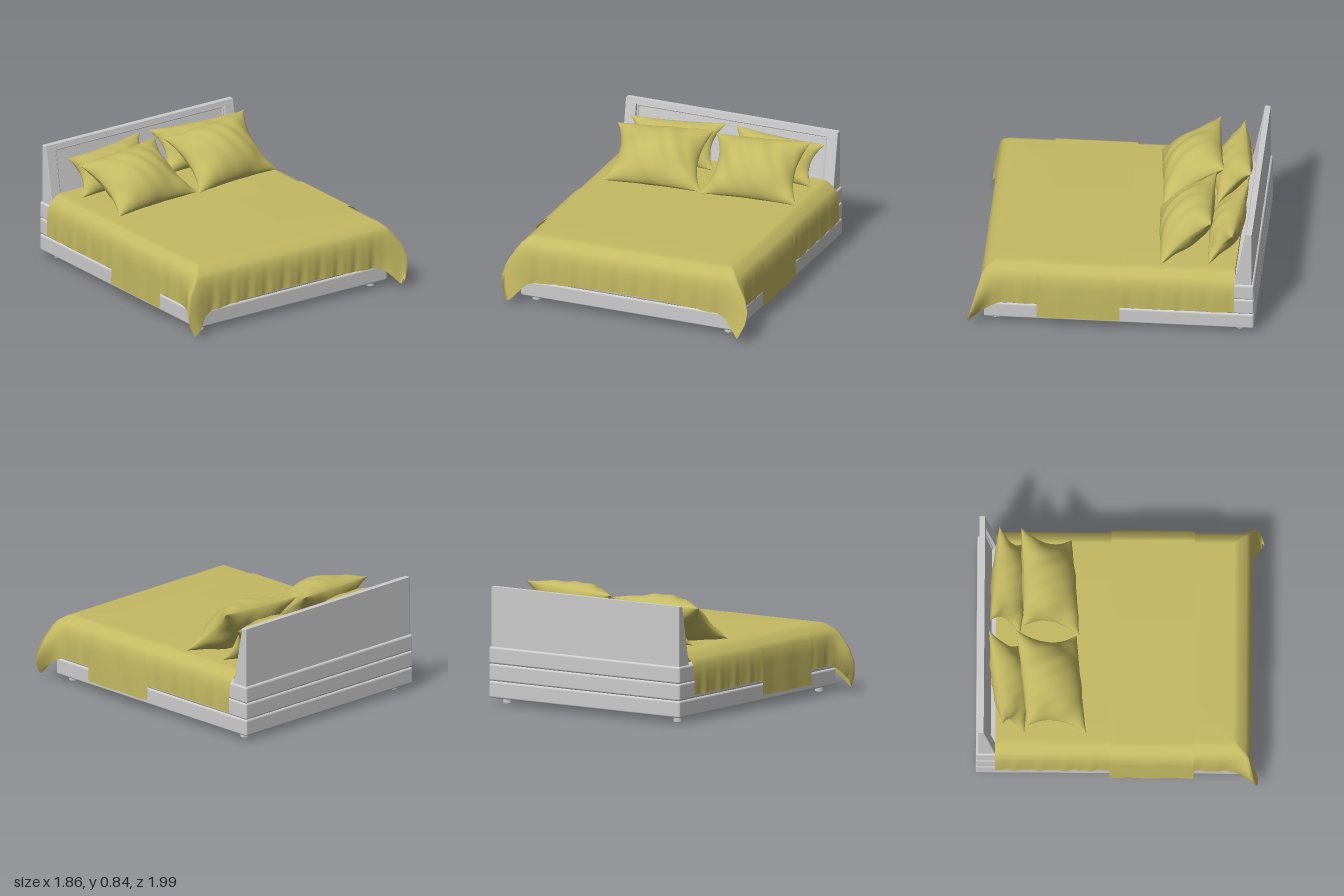
import * as THREE from 'three';
import { RoundedBoxGeometry } from 'three/addons/geometries/RoundedBoxGeometry.js';

const grey = new THREE.MeshStandardMaterial({ color: 0xcccccc });
const cloth = new THREE.MeshStandardMaterial({ color: 0xc4b962, side: THREE.DoubleSide });

function add(parent, name, geometry, material, x = 0, y = 0, z = 0) {
  const mesh = new THREE.Mesh(geometry, material);
  mesh.name = name;
  mesh.position.set(x, y, z);
  parent.add(mesh);
  return mesh;
}

// Smooth surface from rows of points; rows x columns gives the facing
function loft(rows) {
  const n = rows[0].length, index = [];
  for (let i = 0; i < rows.length - 1; i++)
    for (let j = 0; j < n - 1; j++) {
      const a = i * n + j, b = a + n;
      index.push(a, b, a + 1, b, b + 1, a + 1);
    }
  const g = new THREE.BufferGeometry();
  g.setAttribute('position', new THREE.Float32BufferAttribute(rows.flat(2), 3));
  g.setIndex(index);
  g.computeVertexNormals();
  return g;
}

// Side profile given as [z, y] points, extruded along x about the centre
function sideExtrude(points, width) {
  const shape = new THREE.Shape(points.map(p => new THREE.Vector2(...p)));
  const b = 0.005;
  const g = new THREE.ExtrudeGeometry(shape, {
    depth: width - 2 * b, bevelThickness: b, bevelSize: b, bevelOffset: -b, bevelSegments: 2,
  });
  return g.rotateY(-Math.PI / 2).translate(width / 2 - b, 0, 0);
}

// Duvet: widening U-shaped outlines going from the bed centre down to the hem
function duvetGeometry() {
  const stages = [ // half width, front z, height
    [0, 0, 0.486], [0.4, 0.5, 0.487], [0.73, 0.79, 0.486], [0.765, 0.825, 0.474], [0.81, 0.875, 0.435],
    [0.835, 0.9, 0.4], [0.842, 0.907, 0.34], [0.845, 0.91, 0.29], [0.845, 0.91, 0.24], [0.845, 0.91, 0.19],
  ];
  const back = -0.86, n = 90;
  return loft(stages.map(([w, front, h]) => {
    const drop = Math.max(0, (0.4 - h) / 0.21), row = [];
    for (let j = 0; j <= 3 * n; j++) {
      const side = Math.floor(Math.min(j, 3 * n - 1) / n), t = j / n - side;
      let x = [-w, w * (2 * t - 1), w][side];
      let z = [back + (front - back) * t, front, front + (back - front) * t][side];
      let y = h;
      const s = Math.sign(x);
      const corner = Math.exp(-(((w - Math.abs(x)) ** 2 + (front - z) ** 2) / 0.005));
      const ripple = 0.006 * drop * (Math.sin(x * 41 + z * 37) + 0.6 * Math.sin(x * 83 - z * 71 + 1));
      if (side === 1) {
        z += ripple;
        y -= 0.04 * drop * x * x / 0.71;
      } else x += s * ripple * 0.7;
      // loose cloth hanging as a pointed fold at each front corner
      if (drop > 0) {
        x += s * 0.085 * corner * Math.sin(Math.PI * drop * 0.85);
        z += (s > 0 ? 0.085 : 0.06) * corner * drop;
        y -= 0.13 * corner * drop;
      }
      row.push([x, y, z]);
    }
    return row;
  }));
}

// Runner: a strip across the bed hanging over both sides
function runnerGeometry() {
  const half = [[0.862, 0.09], [0.86, 0.2], [0.857, 0.32], [0.85, 0.405], [0.82, 0.44], [0.778, 0.477], [0.745, 0.492]];
  const path = [...half.map(([x, y]) => [-x, y]), [0, 0.493], ...half.slice().reverse()];
  const rows = [];
  for (let i = 0; i <= 12; i++) {
    const z = -0.065 + 0.58 * i / 12;
    rows.push(path.map(([x, y]) => [x + (y < 0.38 ? 0.003 * Math.sin(z * 22) : 0), y, z]));
  }
  return loft(rows);
}

// Pillow: two bulging faces stretched between four pointed corners
function pillow(parent, name, [tl, tr, br, bl], thickness, seed) {
  const group = new THREE.Group();
  group.name = name;
  const [TL, TR, BR, BL] = [tl, tr, br, bl].map(p => new THREE.Vector3(...p));
  const normal = TR.clone().sub(TL).cross(TL.clone().sub(BL)).normalize();
  const n = 32;
  for (const face of [1, -1]) {
    const rows = [];
    for (let i = 0; i <= n; i++) {
      const row = [];
      for (let j = 0; j <= n; j++) {
        const u = Math.sin((i / n - 0.5) * Math.PI) * face, v = Math.sin((j / n - 0.5) * Math.PI);
        const pu = (u * (1 - 0.2 * (1 - v * v)) + 1) / 2, pv = (v * (1 - 0.07 * (1 - u * u)) + 1) / 2;
        const p = BL.clone().lerp(BR, pu).lerp(TL.clone().lerp(TR, pu), pv);
        const crease = 1 + 0.07 * Math.sin(9 * u * v + seed) * (u * u + v * v)
          + 0.04 * Math.sin(14 * u + 5 * v + seed);
        const puff = Math.pow(Math.max(0, (1 - u * u) * (1 - v * v)), 0.6);
        p.addScaledVector(normal, face * thickness * puff * crease);
        row.push([p.x, Math.max(p.y, 0.488), p.z]);
      }
      rows.push(row);
    }
    add(group, face > 0 ? 'pillowFront' : 'pillowBack', loft(rows), cloth);
  }
  parent.add(group);
}

export function createModel() {
  const bed = new THREE.Group();
  bed.name = 'bed';

  // Base of three stacked rounded tiers on four round feet
  for (let i = 0; i < 3; i++)
    add(bed, 'baseTier', new RoundedBoxGeometry(1.625, 0.12, 1.88, 3, 0.015), grey, 0, 0.1 + 0.12 * i, -0.055);
  for (const x of [-0.725, 0.725])
    for (const z of [-0.89, 0.8])
      add(bed, 'foot', new THREE.CylinderGeometry(0.03, 0.03, 0.05, 24), grey, x, 0.025, z);

  // Headboard: tapered arms and top rail around a recessed sloping panel
  const headboard = new THREE.Group();
  headboard.name = 'headboard';
  const arm = [[-0.98, 0.39], [-0.858, 0.39], [-0.94, 0.82], [-0.98, 0.82]];
  for (const x of [-0.76, 0.76]) add(headboard, 'headboardArm', sideExtrude(arm, 0.08), grey, x);
  add(headboard, 'headboardRail', sideExtrude([[-0.98, 0.785], [-0.933, 0.785], [-0.94, 0.82], [-0.98, 0.82]], 1.6), grey);
  add(headboard, 'headboardPanel', sideExtrude([[-0.98, 0.39], [-0.89, 0.39], [-0.957, 0.8], [-0.98, 0.8]], 1.5), grey);
  const beadPath = new THREE.CurvePath();
  const corners = [[-0.71, 0.4, -0.889], [-0.71, 0.775, -0.951], [0.71, 0.775, -0.951], [0.71, 0.4, -0.889]]
    .map(p => new THREE.Vector3(...p));
  for (let i = 0; i < 3; i++) beadPath.add(new THREE.LineCurve3(corners[i], corners[i + 1]));
  add(headboard, 'headboardBead', new THREE.TubeGeometry(beadPath, 120, 0.008, 8), grey);
  bed.add(headboard);

  // Mattress and bedding
  add(bed, 'mattress', new RoundedBoxGeometry(1.46, 0.16, 1.64, 3, 0.02), cloth, 0, 0.395, -0.035);
  add(bed, 'duvet', duvetGeometry(), cloth);
  add(bed, 'runner', runnerGeometry(), cloth);

  // Pillows, corners listed as top left, top right, bottom right, bottom left
  pillow(bed, 'frontRightPillow',
    [[-0.73, 0.76, -0.64], [-0.03, 0.79, -0.72], [0.04, 0.495, -0.3], [-0.68, 0.495, -0.23]], 0.15, 1);
  pillow(bed, 'frontLeftPillow',
    [[0, 0.79, -0.67], [0.71, 0.835, -0.69], [0.745, 0.495, -0.34], [0.04, 0.495, -0.28]], 0.15, 3);
  pillow(bed, 'backRightPillow',
    [[-0.71, 0.75, -0.81], [-0.02, 0.765, -0.91], [-0.02, 0.5, -0.67], [-0.69, 0.5, -0.66]], 0.11, 5);
  pillow(bed, 'backLeftPillow',
    [[0.05, 0.765, -0.9], [0.75, 0.76, -0.84], [0.72, 0.5, -0.67], [0.04, 0.5, -0.69]], 0.11, 2);

  return bed;
}
